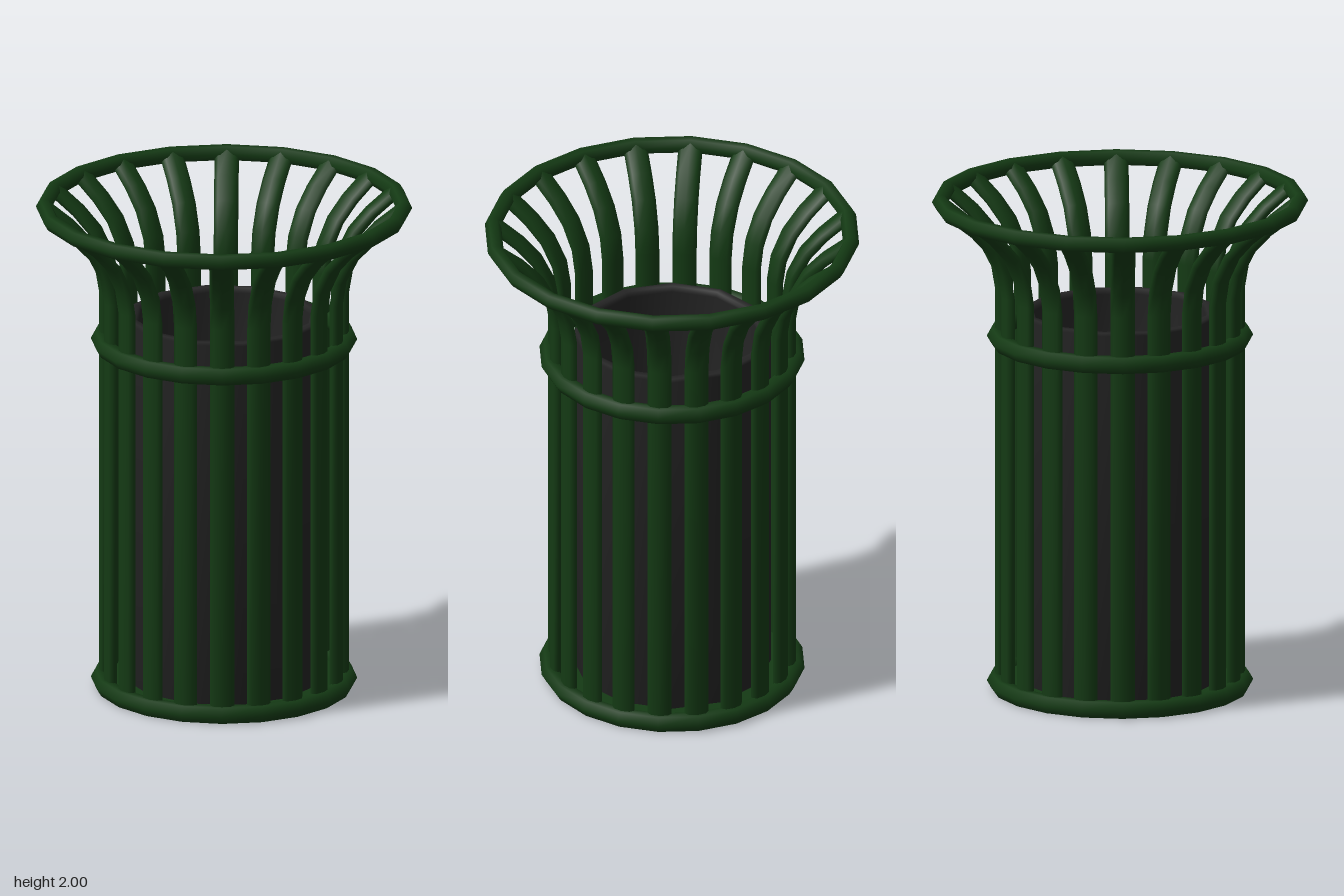
import * as THREE from 'three';
import { mergeVertices } from 'three/addons/utils/BufferGeometryUtils.js';

const green = new THREE.MeshStandardMaterial({ color: 0x143a14 });
const dark = new THREE.MeshStandardMaterial({ color: 0x242424, side: THREE.DoubleSide });

const SLATS = 20;

// Oval bar swept along a [radius, height] path, lying in the x-y plane
function slatGeometry(path, halfThick, halfWidth) {
  const rows = path.length - 1;
  const geo = new THREE.CylinderGeometry(1, 1, 1, 8, rows, true);
  const pos = geo.attributes.position;
  for (let i = 0; i < pos.count; i++) {
    const row = Math.round((pos.getY(i) + 0.5) * rows);
    const [r, y] = path[row];
    const a = path[Math.max(row - 1, 0)], b = path[Math.min(row + 1, rows)];
    const dir = new THREE.Vector2(b[0] - a[0], b[1] - a[1]).normalize();
    const off = pos.getX(i) * halfThick;
    pos.setXYZ(i, r + dir.y * off, y - dir.x * off, pos.getZ(i) * halfWidth);
  }
  geo.deleteAttribute('uv');
  geo.deleteAttribute('normal');
  const welded = mergeVertices(geo);
  welded.computeVertexNormals();
  return welded;
}

export function createModel() {
  const group = new THREE.Group();
  const add = (name, geo, mat, y = 0) => {
    const mesh = new THREE.Mesh(geo, mat);
    mesh.name = name;
    mesh.position.y = y;
    group.add(mesh);
    return mesh;
  };

  // Hoops: base, waist and flared rim
  for (const [name, radius, tube, y] of [
    ['baseRing', 0.487, 0.037, 0.032],
    ['waistRing', 0.487, 0.037, 1.43],
    ['topRing', 0.708, 0.032, 1.972],
  ]) {
    add(name, new THREE.TorusGeometry(radius, tube, 6, SLATS).rotateX(Math.PI / 2), green, y);
  }

  // Floor plate
  add('basePlate', new THREE.CylinderGeometry(0.487, 0.487, 0.04, SLATS), green, 0.02);

  // Upright slats that flare outward at the top
  const slat = slatGeometry([
    [0.467, 0.02], [0.467, 1.62], [0.484, 1.72], [0.535, 1.82], [0.605, 1.895], [0.7, 1.97],
  ], 0.024, 0.048);
  const slats = new THREE.Group();
  slats.name = 'slats';
  for (let i = 0; i < SLATS; i++) {
    const mesh = new THREE.Mesh(slat, green);
    mesh.name = 'slat';
    mesh.rotation.y = (i / SLATS) * Math.PI * 2;
    slats.add(mesh);
  }
  group.add(slats);

  // Hollow inner bin
  const profile = [
    [0, 0.04], [0.39, 0.04], [0.39, 1.52], [0.38, 1.53], [0.353, 1.53], [0.345, 1.51], [0.34, 0.08], [0, 0.08],
  ].map(([r, y]) => new THREE.Vector2(r, y));
  add('innerBin', new THREE.LatheGeometry(profile, 12), dark);

  return group;
}
